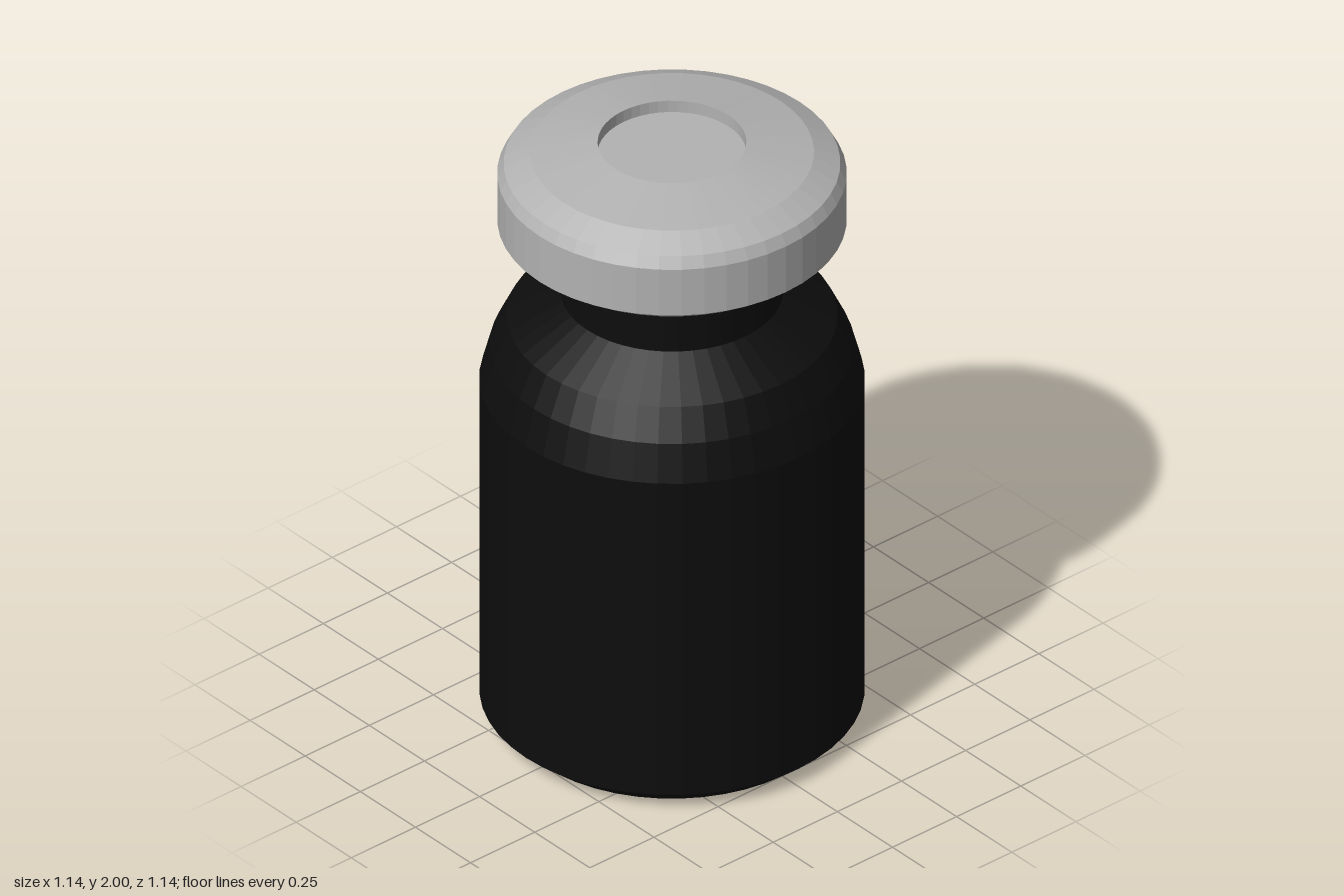
import * as THREE from 'three';

const SEGMENTS = 48;

const glass = new THREE.MeshStandardMaterial({ name: 'black glass', color: 0x0d0d0d, flatShading: true });
const metal = new THREE.MeshStandardMaterial({ name: 'grey metal', color: 0xb2b2b2, flatShading: true });

// Revolve a [radius, height] profile, listed from bottom to top, about the y axis
function turned(name, profile, material) {
  const points = profile.map(([r, y]) => new THREE.Vector2(r, y));
  const mesh = new THREE.Mesh(new THREE.LatheGeometry(points, SEGMENTS), material);
  mesh.name = name;
  return mesh;
}

export function createModel() {
  const group = new THREE.Group();
  group.name = 'vial';

  // Bottle with chamfered base, rounded shoulder and straight neck
  group.add(turned('bottle', [
    [0, 0], [0.5, 0], [0.57, 0.06], [0.57, 1.165], [0.538, 1.285],
    [0.49, 1.385], [0.33, 1.475], [0.33, 1.68],
  ], glass));

  // Crimped cap with a shallow round recess in its top
  group.add(turned('cap', [
    [0.32, 1.667], [0.34, 1.667], [0.465, 1.69], [0.517, 1.728], [0.517, 1.89],
    [0.498, 1.926], [0.42, 1.965], [0.22, 2], [0.22, 1.96], [0, 1.96],
  ], metal));

  return group;
}
